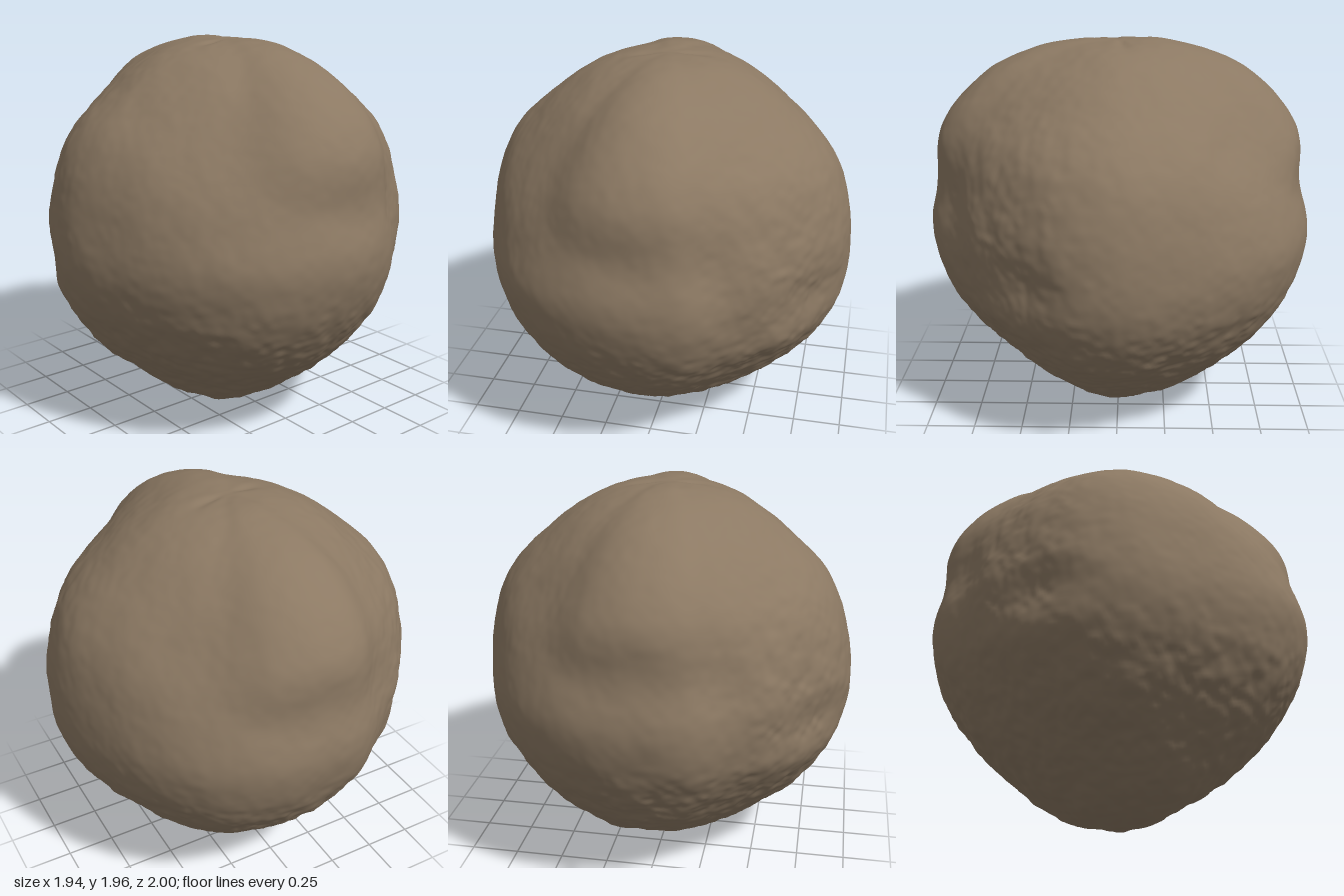
import * as THREE from 'three';
import { mergeVertices } from 'three/addons/utils/BufferGeometryUtils.js';

// Radius against elevation, every 20 degrees from the bottom to the top
const SIDE = [0.985, 0.955, 0.913, 0.933, 0.965, 0.96, 0.977, 0.957, 0.976, 0.975];
const DOME = [0.985, 0.925, 0.905, 0.925, 0.97, 0.985, 1.065, 1.055, 1.01, 0.975];
// Against azimuth, every 15 degrees over half a turn: how much of the dome shows,
// and how far the waist swells or dips
const BLEND = [0, 0, 0.1, 0.2, 0.4, 0.9, 1, 0.7, 0.1, 0, 0, 0];
const WAIST = [0.005, 0.005, -0.03, -0.06, -0.06, -0.005, 0.008, 0.018, 0.02, 0, -0.02, -0.02];

// Smooth curve through evenly spaced values
function sample(values, t, wrap) {
  const n = values.length, i = Math.floor(t), f = t - i;
  const at = (k) => values[wrap ? ((k % n) + n) % n : THREE.MathUtils.clamp(k, 0, n - 1)];
  const [a, b, c, d] = [at(i - 1), at(i), at(i + 1), at(i + 2)];
  return b + 0.5 * f * (c - a + f * (2 * a - 5 * b + 4 * c - d + f * (3 * (b - c) + d - a)));
}

function hash(x, y, z) {
  const s = Math.sin(x * 127.1 + y * 311.7 + z * 74.7) * 43758.5453;
  return s - Math.floor(s);
}

// Smooth value noise between -1 and 1
function noise(x, y, z) {
  const ix = Math.floor(x), iy = Math.floor(y), iz = Math.floor(z);
  const s = (v) => v * v * (3 - 2 * v);
  const fx = s(x - ix), fy = s(y - iy), fz = s(z - iz);
  let sum = 0;
  for (let k = 0; k < 8; k++) {
    const a = k & 1, b = (k >> 1) & 1, c = k >> 2;
    sum += hash(ix + a, iy + b, iz + c) * (a ? fx : 1 - fx) * (b ? fy : 1 - fy) * (c ? fz : 1 - fz);
  }
  return sum * 2 - 1;
}

// Local swelling or hollow; the rock repeats every half turn
function bump(az, el, az0, el0, azWidth, elWidth, height) {
  const d = ((az - az0 + 270) % 180) - 90;
  return height * Math.exp(-((d / azWidth) ** 2) - ((el - el0) / elWidth) ** 2);
}

function rockRadius(d) {
  const el = THREE.MathUtils.radToDeg(Math.asin(THREE.MathUtils.clamp(d.y, -1, 1)));
  const az = (THREE.MathUtils.radToDeg(Math.atan2(d.z, d.x)) + 360) % 180;
  const row = (el + 90) / 20, col = az / 15;
  const level = 1 - d.y * d.y;
  const side = sample(SIDE, row, false), dome = sample(DOME, row, false);
  let r = side + (dome - side) * sample(BLEND, col, true) + sample(WAIST, col, true) * level;

  // Valley beside the dome, and the soft dome edge above it
  r += bump(az, el, 68, 20, 7, 16, -0.025);
  r += bump(az, el, 60, 52, 14, 13, 0.012);
  // Flattened flank on the other side of the dome
  r += bump(az, el, 130, 32, 24, 15, -0.055);
  // Groove under the dome with a rim below it
  r += bump(az, el, 94, 17, 26, 8, -0.03);
  r += bump(az, el, 103, 1, 38, 8, 0.018);
  // Ledge, the hollow under it and the lower shoulder
  r += bump(az, el, 50, 8, 9, 11, 0.018);
  r += bump(az, el, 27, -5, 14, 7, -0.035);
  r += bump(az, el, 38, -18, 18, 8, 0.018);
  // Flattened underside
  r += bump(az, el, 45, -64, 30, 10, -0.015);
  // Short creases running out from the poles
  r += bump(az, el, 170, 83, 12, 6, -0.012);
  r += bump(az, el, 155, -80, 14, 8, -0.012);

  // Grain: rough underneath and along the sides, smooth on the domes
  const rough = 0.25 + 0.75 * Math.max(THREE.MathUtils.smoothstep(-d.y, 0.05, 0.5),
    0.7 * Math.exp(-(((az - 35) / 25) ** 2)) * level);
  r += 0.005 * noise(d.x * 5 + 9, d.y * 5 + 9, d.z * 5 + 9);
  r += rough * (0.007 * noise(d.x * 11 + 20, d.y * 11 + 20, d.z * 11 + 20)
    + 0.006 * noise(d.x * 24 + 40, d.y * 24 + 40, d.z * 24 + 40));
  return r;
}

export function createModel() {
  const stone = new THREE.MeshStandardMaterial({ color: 0x8c7963 });
  stone.name = 'brown stone';

  // Even sphere pushed in and out along its radii
  let geometry = new THREE.IcosahedronGeometry(1, 64);
  geometry.deleteAttribute('uv');
  geometry.deleteAttribute('normal');
  geometry = mergeVertices(geometry, 1e-4);
  const position = geometry.attributes.position, d = new THREE.Vector3();
  for (let i = 0; i < position.count; i++) {
    d.fromBufferAttribute(position, i).normalize();
    d.multiplyScalar(rockRadius(d));
    position.setXYZ(i, d.x, d.y, d.z);
  }
  geometry.computeBoundingBox();
  geometry.translate(0, -geometry.boundingBox.min.y, 0);
  geometry.computeVertexNormals();

  const rock = new THREE.Mesh(geometry, stone);
  rock.name = 'boulder';
  const group = new THREE.Group();
  group.name = 'rock';
  group.add(rock);
  return group;
}
